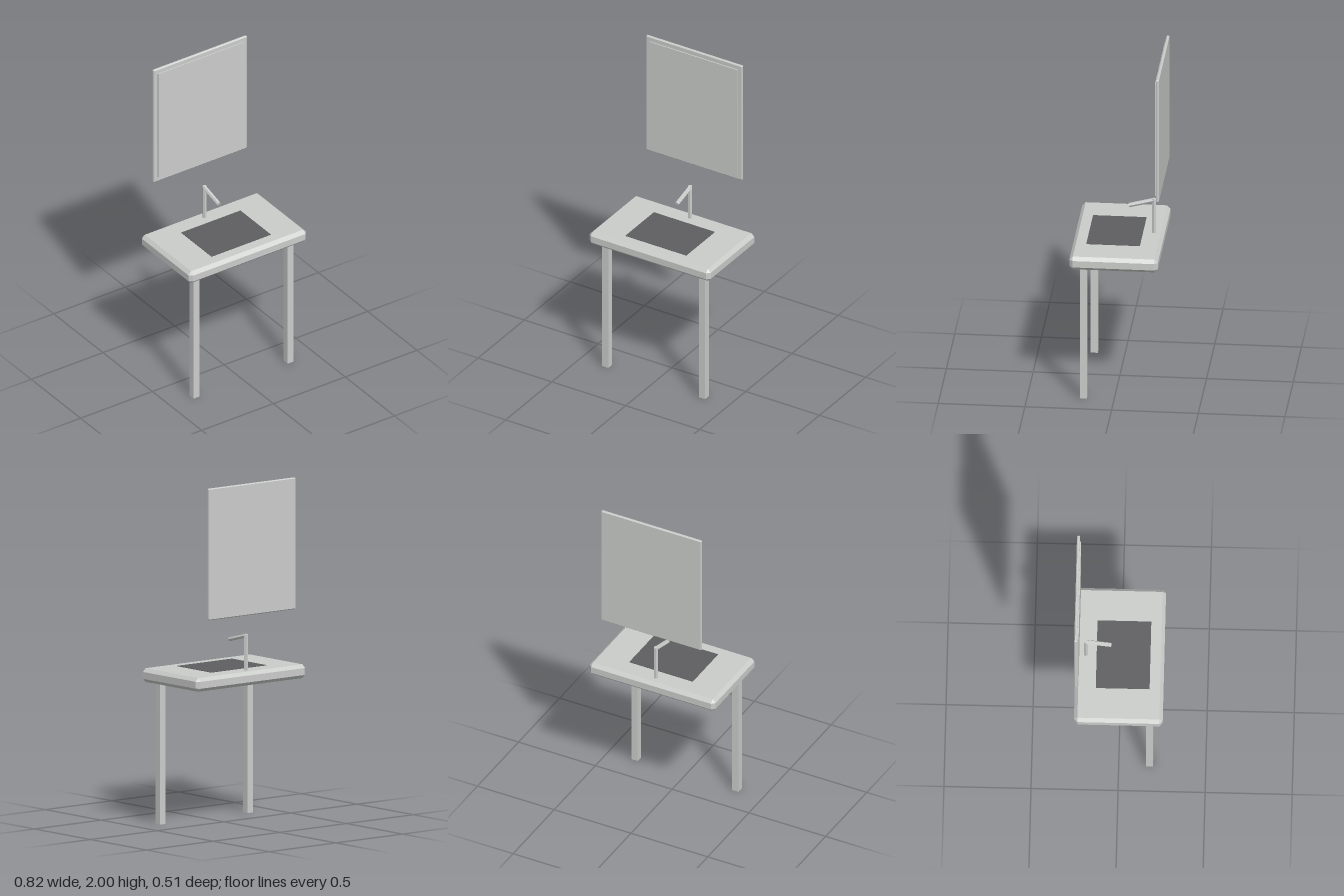
import * as THREE from 'three';
import { ConvexGeometry } from 'three/addons/geometries/ConvexGeometry.js';

// Box with every edge cut at 45 degrees
function chamferedBox(w, h, d, c) {
  const points = [];
  for (const sx of [-1, 1]) for (const sy of [-1, 1]) for (const sz of [-1, 1]) {
    for (let face = 0; face < 3; face++) {
      const half = [w / 2, h / 2, d / 2].map((v, i) => (i === face ? v : v - c));
      points.push(new THREE.Vector3(sx * half[0], sy * half[1], sz * half[2]));
    }
  }
  return new ConvexGeometry(points);
}

// Six-sided rod between two points, with corners on the x axis
function rod(a, b, radius) {
  const dir = b.clone().sub(a);
  const geo = new THREE.CylinderGeometry(radius, radius, dir.length(), 6).toNonIndexed();
  geo.computeVertexNormals();
  geo.rotateY(Math.PI / 2);
  const turn = new THREE.Quaternion().setFromUnitVectors(new THREE.Vector3(0, 1, 0), dir.normalize());
  geo.applyQuaternion(turn);
  const mid = a.clone().add(b).multiplyScalar(0.5);
  return geo.translate(mid.x, mid.y, mid.z);
}

export function createModel() {
  const model = new THREE.Group();
  model.name = 'washstand';
  const paleGrey = new THREE.MeshStandardMaterial({ name: 'pale grey', color: 0xcbcdcb });
  const darkGrey = new THREE.MeshStandardMaterial({ name: 'dark grey', color: 0x5e5e60 });

  function add(name, geometry, material, x = 0, y = 0, z = 0) {
    const mesh = new THREE.Mesh(geometry, material);
    mesh.name = name;
    mesh.position.set(x, y, z);
    model.add(mesh);
  }

  // Counter slab and the dark basin on it
  add('counter', chamferedBox(0.82, 0.08, 0.51, 0.02), paleGrey, 0, 0.865, -0.001);
  add('basin', new THREE.BoxGeometry(0.413, 0.004, 0.309), darkGrey, 0, 0.905, 0.0195);

  // Two front legs
  for (const side of [-1, 1]) {
    add(side > 0 ? 'leftLeg' : 'rightLeg', new THREE.BoxGeometry(0.041, 0.826, 0.041), paleGrey,
      side * 0.328, 0.413, 0.177);
  }

  // Tap: upright and sloping spout
  const top = new THREE.Vector3(0, 1.107, -0.197);
  add('tapPost', rod(new THREE.Vector3(0, 0.9, -0.197), new THREE.Vector3(0, 1.116, -0.197), 0.013), paleGrey);
  add('tapSpout', rod(top, new THREE.Vector3(0, 1.069, -0.053), 0.013), paleGrey);

  // Wall mirror: backing board and raised glass
  add('mirrorBoard', chamferedBox(0.652, 0.765, 0.018, 0.005), paleGrey, 0, 1.6175, -0.247);
  add('mirrorGlass', new THREE.BoxGeometry(0.598, 0.705, 0.008), paleGrey, 0, 1.6175, -0.2355);

  return model;
}
